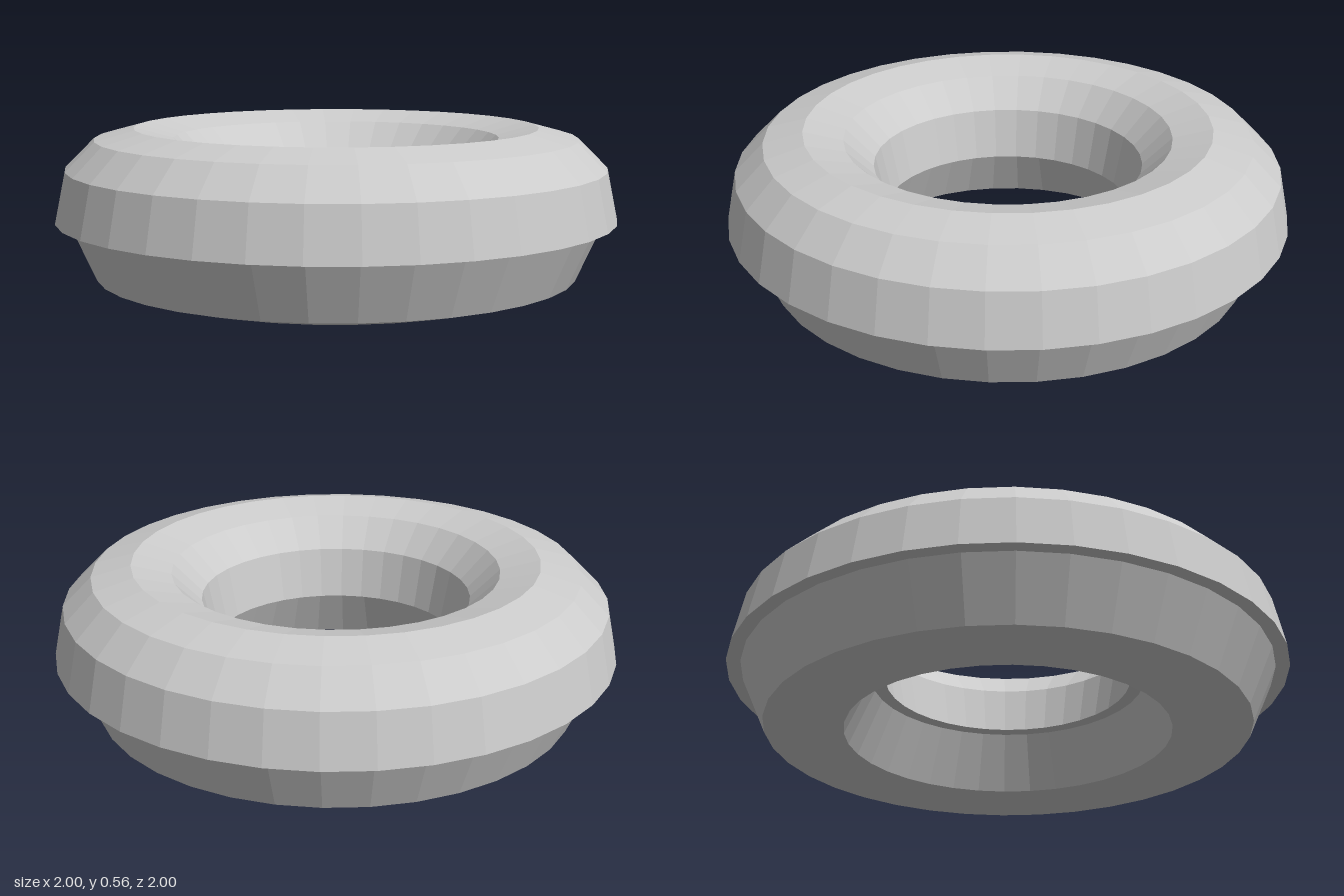
import * as THREE from 'three';

const RING = 0.72;    // radius of the ring's centre line
const TUBE = 0.28;    // radius of the twelve-sided tube
const SEAM = 0.24;    // height where icing meets dough
const LEDGE = 0.23;   // half-width of the dough at the seam
const SEGMENTS = 36;

// Point on the tube section, angle in 30 degree steps from the outer equator
function tubePoint(step) {
  const a = step * Math.PI / 6;
  return new THREE.Vector2(RING + TUBE * Math.cos(a), TUBE + TUBE * Math.sin(a));
}

// Point on the seam, offset from the centre line
const seamPoint = (offset) => new THREE.Vector2(RING + offset, SEAM);

function ringPart(name, profile) {
  const material = new THREE.MeshStandardMaterial({
    color: 0xcccccc, flatShading: true, side: THREE.DoubleSide,
  });
  const mesh = new THREE.Mesh(new THREE.LatheGeometry(profile, SEGMENTS), material);
  mesh.name = name;
  return mesh;
}

export function createModel() {
  const model = new THREE.Group();
  model.name = 'ringDoughnut';

  // Dough: rounded underside with sloping walls up to the seam
  model.add(ringPart('dough', [
    seamPoint(-LEDGE), ...[8, 9, 10].map(tubePoint), seamPoint(LEDGE),
  ]));

  // Icing: upper half of the tube, overhanging the dough by a small ledge
  model.add(ringPart('icing', [
    seamPoint(LEDGE), seamPoint(TUBE),
    ...[1, 2, 3, 4, 5].map(tubePoint),
    seamPoint(-TUBE), seamPoint(-LEDGE),
  ]));

  return model;
}
